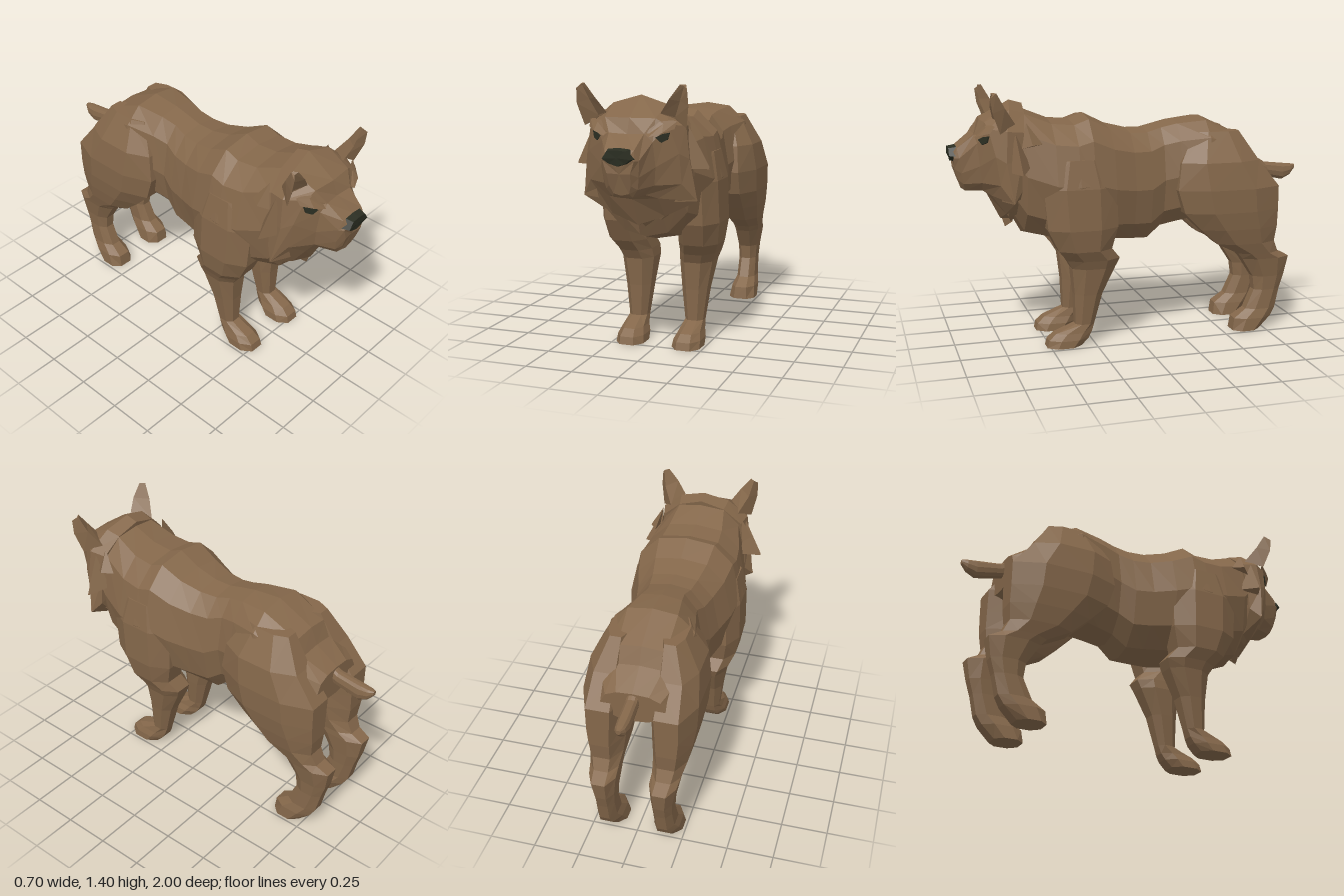
import * as THREE from 'three';

const fur = new THREE.MeshStandardMaterial({ color: 0x84674a });
fur.name = 'brown fur';
const dark = new THREE.MeshStandardMaterial({ color: 0x2b2e22 });
dark.name = 'dark nose and eyes';

// Faceted solid through a list of rings with equal point counts, capped at both ends.
function loft(name, rings, material = fur) {
  const tris = [];
  const n = rings[0].length;
  for (let r = 0; r + 1 < rings.length; r++) {
    for (let i = 0; i < n; i++) {
      const j = (i + 1) % n;
      const a = rings[r][i], b = rings[r][j], c = rings[r + 1][j], d = rings[r + 1][i];
      tris.push([a, b, c], [a, c, d]);
    }
  }
  const cap = (ring, flip) => {
    const mid = [0, 1, 2].map(k => ring.reduce((s, p) => s + p[k], 0) / n);
    ring.forEach((p, i) => {
      const q = ring[(i + 1) % n];
      tris.push(flip ? [mid, q, p] : [mid, p, q]);
    });
  };
  cap(rings[0], true);
  cap(rings[rings.length - 1], false);
  // Signed volume tells whether the faces point outward.
  let volume = 0;
  const [A, B, C] = [new THREE.Vector3(), new THREE.Vector3(), new THREE.Vector3()];
  for (const [a, b, c] of tris) {
    volume += A.fromArray(a).dot(B.fromArray(b).cross(C.fromArray(c)));
  }
  if (volume < 0) tris.forEach(t => t.reverse());
  const geometry = new THREE.BufferGeometry();
  geometry.setAttribute('position', new THREE.Float32BufferAttribute(tris.flat(2), 3));
  geometry.computeVertexNormals();
  const mesh = new THREE.Mesh(geometry, material);
  mesh.name = name;
  return mesh;
}

// Full ring from its left half, listed from top centre to bottom centre.
const mirrorRing = half =>
  [...half, ...half.slice(1, -1).reverse().map(([x, y, z]) => [-x, y, z])];
const flipX = rings => rings.map(ring => ring.map(([x, y, z]) => [-x, y, z]));

// Torso cross-section: rounded, with a flattish back.
const torsoRing = ([z, top, bottom, w]) => mirrorRing(
  [[0, 1], [0.5, 0.97], [0.84, 0.82], [1, 0.5], [0.85, 0.2], [0.45, 0.04], [0, 0]]
    .map(([x, t]) => [x * w, bottom + t * (top - bottom), z]));

// Leg cross-section: level octagon between front/back z and inner/outer x.
const legRing = ([y, front, back, inner, outer]) =>
  [[1, 0.45], [0.5, 1], [-0.5, 1], [-1, 0.45], [-1, -0.45], [-0.5, -1], [0.5, -1], [1, -0.45]]
    .map(([x, z]) => [
      (inner + outer) / 2 + x * (outer - inner) / 2, y,
      (front + back) / 2 + z * (front - back) / 2]);

export function createModel() {
  const model = new THREE.Group();
  model.name = 'wolf';
  const addPair = (name, rings, material) => {
    model.add(loft('left' + name, rings, material), loft('right' + name, flipX(rings), material));
  };

  // Torso: z, top, bottom, half width
  model.add(loft('torso', [
    [0.68, 1.33, 0.74, 0.24], [0.62, 1.31, 0.63, 0.26], [0.47, 1.25, 0.59, 0.305],
    [0.35, 1.24, 0.58, 0.32], [0.27, 1.27, 0.57, 0.315], [0.15, 1.21, 0.56, 0.29],
    [0.03, 1.18, 0.55, 0.25], [-0.07, 1.18, 0.545, 0.225], [-0.15, 1.2, 0.61, 0.2],
    [-0.24, 1.22, 0.63, 0.22], [-0.4, 1.235, 0.66, 0.265], [-0.6, 1.14, 0.72, 0.25],
    [-0.64, 1.05, 0.75, 0.24], [-0.77, 0.97, 0.8, 0.17],
  ].map(torsoRing)));

  // Head and muzzle
  model.add(loft('head', [
    [[0, 1.33, 0.6], [0.13, 1.29, 0.61], [0.23, 1.2, 0.63], [0.25, 1.05, 0.65], [0.26, 0.9, 0.65], [0.16, 0.78, 0.66], [0, 0.7, 0.66]],
    [[0, 1.35, 0.67], [0.14, 1.31, 0.69], [0.25, 1.21, 0.72], [0.27, 1.05, 0.73], [0.3, 0.84, 0.7], [0.14, 0.76, 0.72], [0, 0.71, 0.73]],
    [[0, 1.25, 0.83], [0.13, 1.25, 0.82], [0.19, 1.22, 0.81], [0.235, 1.08, 0.78], [0.24, 0.93, 0.76], [0.13, 0.86, 0.79], [0, 0.85, 0.8]],
    [[0, 1.175, 0.86], [0.09, 1.18, 0.87], [0.13, 1.14, 0.86], [0.14, 1.02, 0.85], [0.13, 0.93, 0.84], [0.08, 0.88, 0.83], [0, 0.875, 0.83]],
    [[0, 1.12, 0.96], [0.075, 1.11, 0.96], [0.095, 1.06, 0.95], [0.09, 0.98, 0.94], [0.08, 0.92, 0.93], [0.05, 0.88, 0.92], [0, 0.875, 0.92]],
    [[0, 1.09, 0.985], [0.06, 1.085, 0.985], [0.08, 1.06, 0.975], [0.06, 1, 0.975], [0.055, 0.94, 0.955], [0.04, 0.9, 0.94], [0, 0.89, 0.94]],
  ].map(mirrorRing)));

  // Nose pad
  const noseRing = (z, s) => mirrorRing(
    [[0, 1.12], [0.055, 1.115], [0.085, 1.07], [0.05, 1.045], [0, 1.03]]
      .map(([x, y]) => [x * s, 1.075 + (y - 1.075) * s, z - (y < 1.05 ? 0.008 : 0)]));
  model.add(loft('nose', [noseRing(0.96, 1), noseRing(1, 0.85)], dark));

  // Eyes: thin plates lying on the slanted face
  const eyeRing = lift =>
    [[0.142, 1.162], [0.165, 1.137], [0.19, 1.15], [0.198, 1.183], [0.17, 1.178]]
      .map(([x, y]) => [x, y, 0.81 - 0.784 * (x - 0.19) - 0.038 * (y - 1.22) + lift]);
  addPair('Eye', [eyeRing(0), eyeRing(0.008)], dark);

  // Frowning brows
  addPair('Brow', [
    [[0.225, 1.235, 0.78], [0.22, 1.2, 0.805], [0.2, 1.24, 0.79]],
    [[0.17, 1.225, 0.82], [0.175, 1.185, 0.855], [0.15, 1.235, 0.82]],
    [[0.11, 1.18, 0.86], [0.115, 1.165, 0.88], [0.09, 1.185, 0.865]],
  ]);

  // Ears: inner edge, hollow, outer edge, back
  addPair('Ear', [
    [[0.14, 1.27, 0.78], [0.2, 1.25, 0.74], [0.265, 1.2, 0.76], [0.2, 1.24, 0.67]],
    [[0.19, 1.34, 0.8], [0.235, 1.33, 0.77], [0.288, 1.31, 0.8], [0.25, 1.33, 0.73]],
    [[0.245, 1.41, 0.8], [0.262, 1.4, 0.79], [0.285, 1.385, 0.81], [0.268, 1.41, 0.775]],
  ]);

  // Fur tufts beside the neck and under the cheeks
  const tuft = (a, b, c, tip) => [[a, b, c], [a, b, c].map(p => p.map((v, k) => tip[k] + (v - tip[k]) * 0.05))];
  addPair('NeckTuft', tuft([0.25, 1.2, 0.68], [0.25, 1, 0.72], [0.24, 1.02, 0.6], [0.355, 0.995, 0.66]));
  addPair('UpperTuft', tuft([0.23, 1.25, 0.62], [0.26, 1.12, 0.65], [0.26, 1.14, 0.54], [0.3, 1.14, 0.6]));
  addPair('CheekTuft', tuft([0.24, 1, 0.75], [0.2, 0.84, 0.75], [0.24, 0.9, 0.65], [0.305, 0.84, 0.7]));
  addPair('ThroatTuft', tuft([0.22, 0.85, 0.71], [0.08, 0.78, 0.73], [0.17, 0.78, 0.6], [0.11, 0.735, 0.7]));

  // Chest bib: y, half width, front z, back z
  model.add(loft('chestFur', [
    [0.85, 0.2, 0.75, 0.55], [0.75, 0.13, 0.735, 0.6], [0.66, 0.015, 0.705, 0.68],
  ].map(([y, w, f, b]) => [[0, y, f], [w, y + 0.03, f - 0.04], [w, y + 0.03, b], [-w, y + 0.03, b], [-w, y + 0.03, f - 0.04]])));

  // Legs: y, front z, back z, inner x, outer x
  addPair('FrontLeg', [
    [1.05, 0.48, 0.2, 0.1, 0.29], [0.9, 0.54, 0.14, 0.1, 0.32], [0.68, 0.52, 0.14, 0.1, 0.325],
    [0.56, 0.46, 0.17, 0.09, 0.305], [0.5, 0.41, 0.12, 0.08, 0.275], [0.45, 0.38, 0.14, 0.075, 0.255],
    [0.3, 0.365, 0.21, 0.09, 0.23], [0.13, 0.36, 0.255, 0.11, 0.21], [0.085, 0.47, 0.27, 0.1, 0.22],
    [0.05, 0.51, 0.29, 0.085, 0.232], [0.01, 0.52, 0.33, 0.08, 0.235],
  ].map(legRing));
  addPair('HindLeg', [
    [1.16, -0.32, -0.58, 0.08, 0.2], [1, -0.23, -0.68, 0.06, 0.285], [0.85, -0.21, -0.8, 0.05, 0.305],
    [0.72, -0.25, -0.8, 0.06, 0.3], [0.62, -0.35, -0.8, 0.07, 0.285], [0.53, -0.45, -0.79, 0.08, 0.265],
    [0.465, -0.58, -0.82, 0.09, 0.245], [0.43, -0.61, -0.89, 0.09, 0.235], [0.32, -0.68, -0.87, 0.1, 0.215],
    [0.24, -0.69, -0.845, 0.105, 0.21], [0.13, -0.64, -0.82, 0.105, 0.215], [0.08, -0.57, -0.79, 0.09, 0.23],
    [0.01, -0.56, -0.72, 0.08, 0.235],
  ].map(legRing));

  // Tail: z, top, bottom, half width
  model.add(loft('tail', [
    [-0.6, 1.07, 0.95, 0.03], [-0.7, 1, 0.89, 0.035], [-0.79, 0.95, 0.87, 0.035],
    [-0.92, 0.935, 0.84, 0.036], [-0.97, 0.93, 0.865, 0.03], [-1, 0.925, 0.9, 0.012],
  ].map(torsoRing)));

  return model;
}
